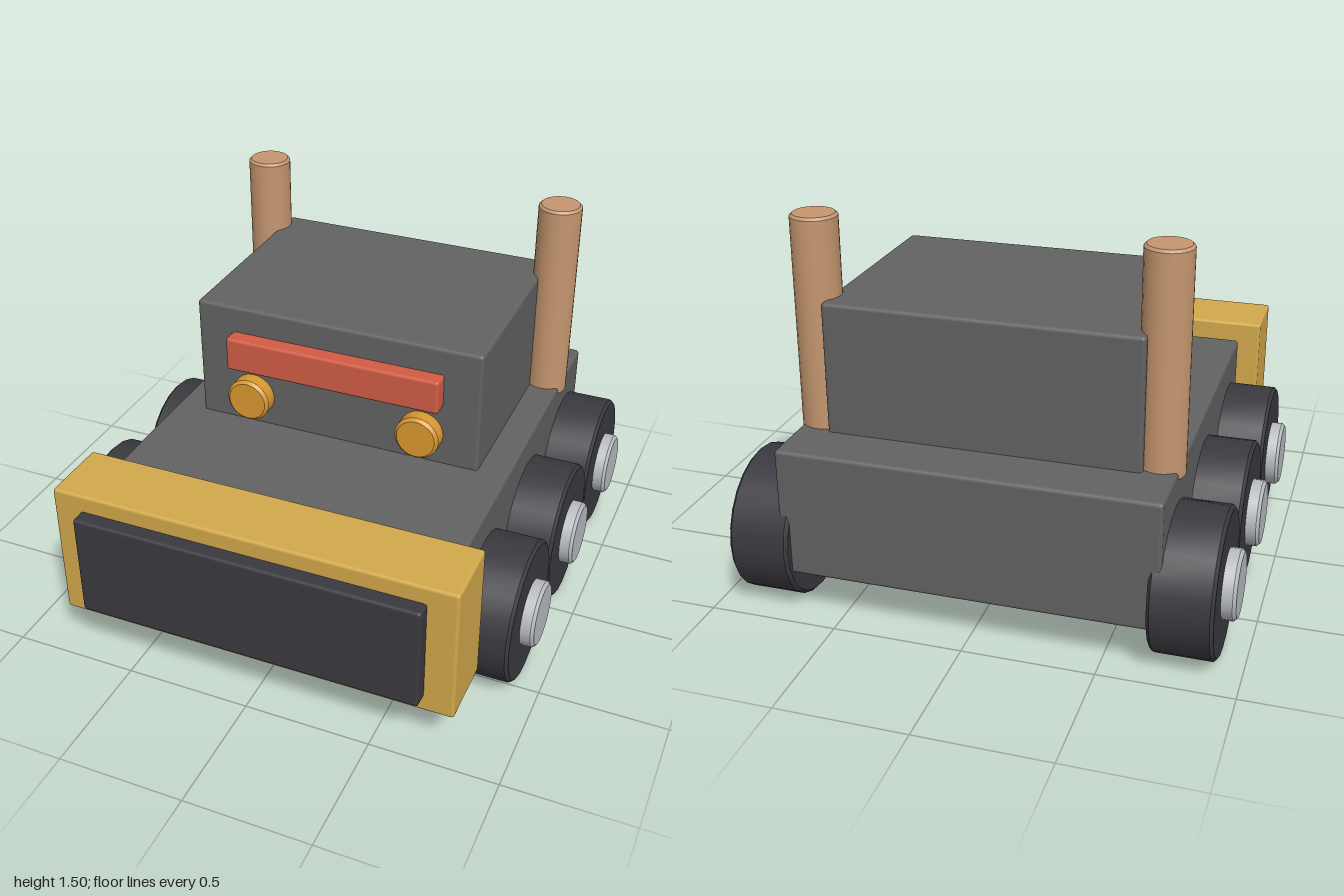
import * as THREE from 'three';
import { toCreasedNormals } from 'three/addons/utils/BufferGeometryUtils.js';
import { RoundedBoxGeometry } from 'three/addons/geometries/RoundedBoxGeometry.js';

const material = (name, color) => {
  const m = new THREE.MeshStandardMaterial({ color });
  m.name = name;
  return m;
};

// Box given by its limits on each axis, with softened edges
function box(name, mat, [x0, x1], [y0, y1], [z0, z1], radius = 0.012) {
  const mesh = new THREE.Mesh(new RoundedBoxGeometry(x1 - x0, y1 - y0, z1 - z0, 2, radius), mat);
  mesh.name = name;
  mesh.position.set((x0 + x1) / 2, (y0 + y1) / 2, (z0 + z1) / 2);
  return mesh;
}

// Cylinder with bevelled rims, turned to lie along the given axis
function rod(name, mat, radius, length, bevel, axis, position, sides = 24) {
  const h = length / 2;
  const profile = [
    [0, -h], [radius - bevel, -h], [radius, -h + bevel],
    [radius, h - bevel], [radius - bevel, h], [0, h],
  ].map(([x, y]) => new THREE.Vector2(x, y));
  const geometry = toCreasedNormals(new THREE.LatheGeometry(profile, sides), 0.5);
  if (axis === 'x') geometry.rotateZ(-Math.PI / 2);
  if (axis === 'z') geometry.rotateX(Math.PI / 2);
  const mesh = new THREE.Mesh(geometry, mat);
  mesh.name = name;
  mesh.position.set(...position);
  return mesh;
}

export function createModel() {
  const model = new THREE.Group();
  model.name = 'plowTruck';

  const bodyGrey = material('body grey', 0x626263);
  const rubber = material('dark rubber', 0x3a393f);
  const metal = material('light metal', 0xb9bdc2);
  const yellow = material('plow yellow', 0xd2a94c);
  const amber = material('lamp amber', 0xd9982f);
  const red = material('bar red', 0xd25c45);
  const copper = material('stack copper', 0xc5966f);

  // Chassis and cab
  model.add(box('chassis', bodyGrey, [-0.715, 0.715], [0.19, 0.69], [-0.96, 0.615], 0.015));
  model.add(box('cab', bodyGrey, [-0.595, 0.595], [0.66, 1.195], [-0.755, 0.13], 0.015));

  // Front plow with its dark face plate
  model.add(box('plow', yellow, [-0.8, 0.8], [0.19, 0.75], [0.66, 0.94]));
  model.add(box('plowPlate', rubber, [-0.685, 0.685], [0.255, 0.68], [0.92, 1]));

  // Red bar across the cab front
  model.add(box('cabBar', red, [-0.445, 0.445], [0.945, 1.085], [0.1, 0.195]));

  for (const side of [-1, 1]) {
    const label = side > 0 ? 'left' : 'right';

    // Lamps, exhaust stacks and plow arms
    model.add(rod(label + 'Lamp', amber, 0.09, 0.085, 0.012, 'z', [side * 0.36, 0.815, 0.1525]));
    model.add(rod(label + 'Stack', copper, 0.088, 0.85, 0.01, 'y', [side * 0.645, 1.075, -0.655]));
    model.add(rod(label + 'PlowArm', metal, 0.11, 0.16, 0.01, 'z', [side * 0.445, 0.465, 0.62]));

    // Three wheels with protruding hubs
    [0.38, -0.17, -0.72].forEach((z, i) => {
      const wheel = new THREE.Group();
      wheel.name = label + 'Wheel' + (i + 1);
      wheel.position.set(side * 0.79, 0.285, z);
      wheel.add(rod('tyre', rubber, 0.28, 0.235, 0.012, 'x', [0, 0, 0]));
      wheel.add(rod('hub', metal, 0.13, 0.12, 0.012, 'x', [side * 0.11, 0, 0]));
      model.add(wheel);
    });
  }
  return model;
}
